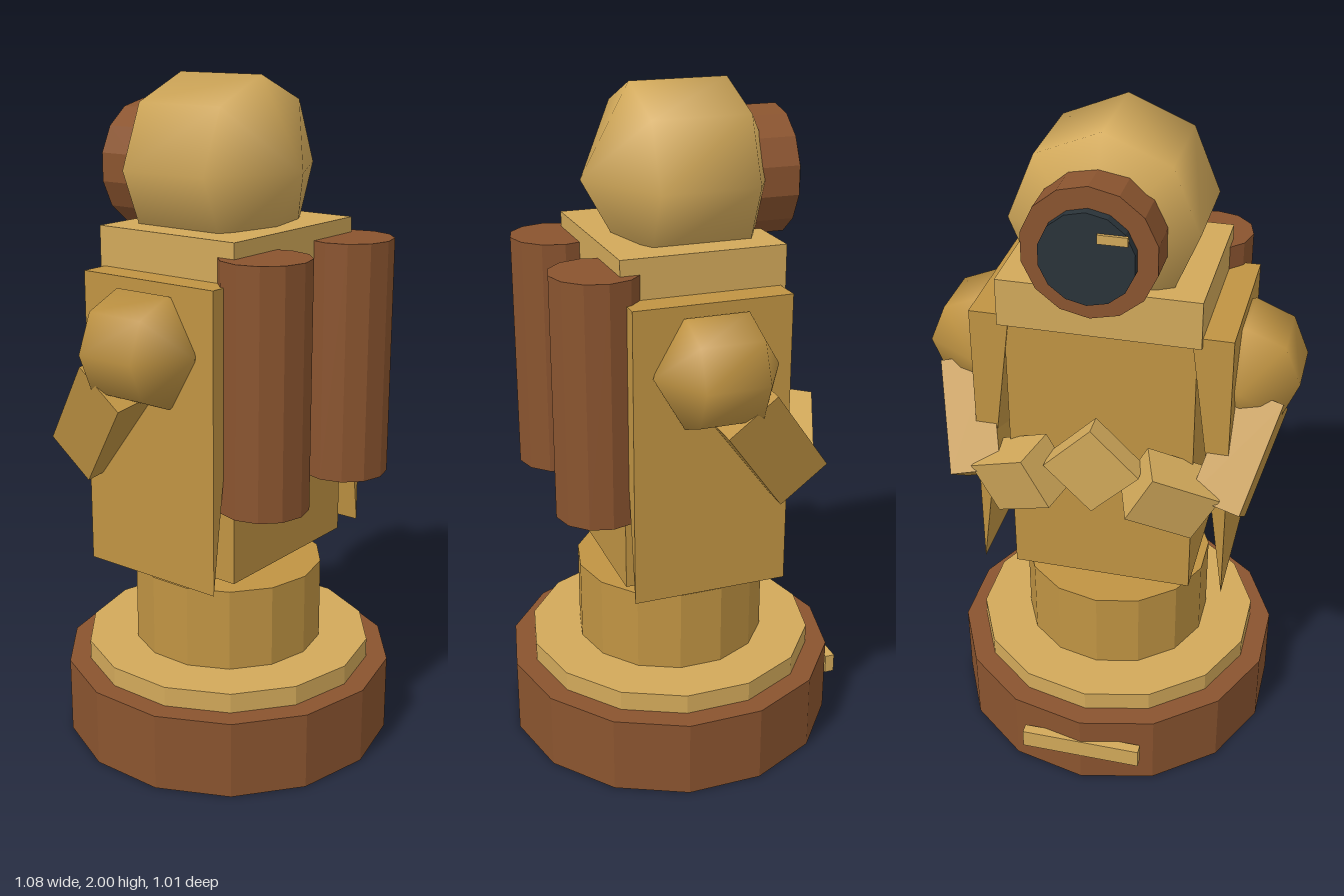
import * as THREE from 'three';

export function createModel() {
  const model = new THREE.Group();
  model.name = 'trophyFigure';

  const mat = (name, color) => {
    const m = new THREE.MeshStandardMaterial({ color });
    m.name = name;
    return m;
  };
  const lightGold = mat('lightGold', 0xd2a95a);
  const gold = mat('gold', 0xc09443);
  const brown = mat('brown', 0x8a542f);
  const dark = mat('darkGlass', 0x2a3339);

  const add = (name, geometry, material, x = 0, y = 0, z = 0) => {
    const mesh = new THREE.Mesh(geometry, material);
    mesh.name = name;
    mesh.position.set(x, y, z);
    model.add(mesh);
    return mesh;
  };
  const box = (w, h, d) => new THREE.BoxGeometry(w, h, d);
  // Faceted cylinder
  const drum = (r, h, sides) => {
    const g = new THREE.CylinderGeometry(r, r, h, sides).toNonIndexed();
    g.computeVertexNormals();
    return g;
  };
  // Smooth coarse ball with its poles along z
  const ball = (r) => new THREE.SphereGeometry(r, 8, 3).rotateX(Math.PI / 2);
  // Box whose length follows an axis, with its depth towards a reference direction
  const limb = (name, material, center, axis, ref, size) => {
    const Y = new THREE.Vector3(...axis).normalize();
    const X = new THREE.Vector3().crossVectors(Y, new THREE.Vector3(...ref)).normalize();
    const Z = new THREE.Vector3().crossVectors(X, Y);
    const mesh = add(name, box(...size), material, ...center);
    mesh.quaternion.setFromRotationMatrix(new THREE.Matrix4().makeBasis(X, Y, Z));
  };

  // Stepped pedestal and its plate
  add('base', drum(0.505, 0.235, 14), brown, 0, 0.1175, 0);
  add('baseStep', drum(0.44, 0.06, 14), lightGold, 0, 0.265, 0);
  add('pedestal', drum(0.29, 0.25, 14), gold, 0, 0.42, 0);
  add('basePlate', box(0.366, 0.06, 0.03), lightGold, 0, 0.125, -0.493);

  // Torso and collar
  add('torso', box(0.54, 0.86, 0.45), gold, 0, 1.03, 0.004);
  add('collar', box(0.57, 0.14, 0.48), lightGold, 0, 1.515, 0);

  // Head, with visor facing the back
  add('head', ball(0.3), lightGold, 0, 1.74, -0.028).scale.z = 0.96;
  add('visorRim', drum(0.185, 0.115, 14).rotateX(Math.PI / 2), brown, 0, 1.733, -0.2635);
  add('visorGlass', drum(0.13, 0.04, 14).rotateX(Math.PI / 2), dark, 0, 1.73, -0.328);
  add('visorGlint', box(0.08, 0.025, 0.009), lightGold, -0.07, 1.795, -0.352);

  // Tilted chest block held between the hands
  add('chestBlock', box(0.195, 0.195, 0.07), lightGold, 0, 1.062, -0.3).rotation.z = Math.PI / 4;

  for (const s of [1, -1]) {
    const side = s > 0 ? 'left' : 'right';

    // Side panel tapering to an edge at the bottom
    const wedge = new THREE.Shape([
      new THREE.Vector2(s * 0.37, 0.6),
      new THREE.Vector2(s * 0.37, 1.47),
      new THREE.Vector2(s * 0.255, 1.47),
    ]);
    add(side + 'SidePanel', new THREE.ExtrudeGeometry(wedge, { depth: 0.46, bevelEnabled: false }),
      gold, 0, 0, -0.225);

    // Backpack tank
    add(side + 'Tank', drum(0.13, 0.71, 12), brown, s * 0.208, 1.185, 0.285);

    // Arm
    add(side + 'Shoulder', ball(0.183), gold, s * 0.382, 1.28, 0);
    limb(side + 'UpperArm', gold, [s * 0.39, 1.065, -0.145],
      [s * -0.08, -0.26, -0.195], [1, 0, 0], [0.175, 0.335, 0.15]);
    limb(side + 'Forearm', lightGold, [s * 0.217, 0.988, -0.284],
      [s * -0.178, 0.095, -0.075], [0, 0, 1], [0.165, 0.213, 0.13]);
  }
  return model;
}
